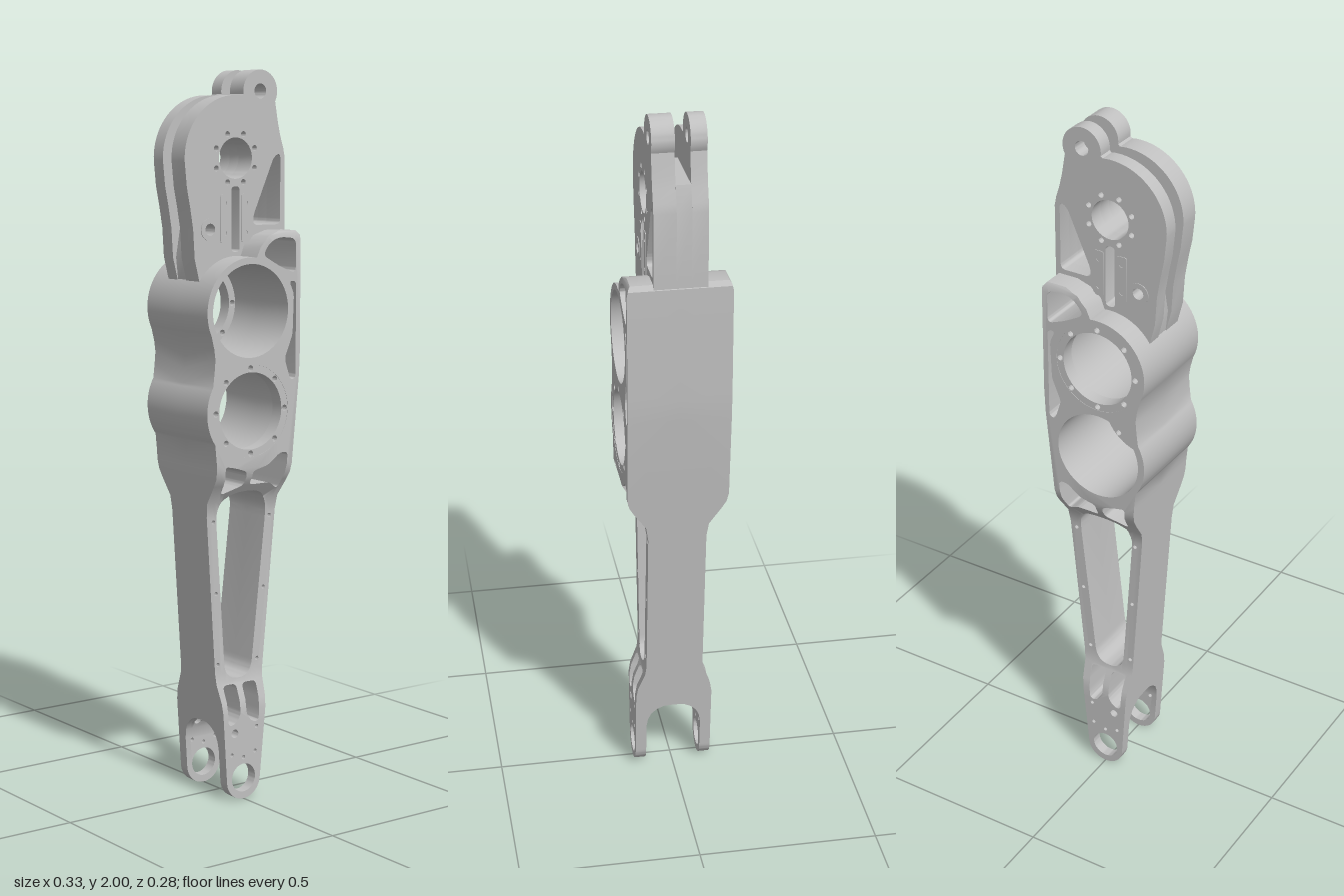
import * as THREE from 'three';
import { toCreasedNormals } from 'three/addons/utils/BufferGeometryUtils.js';

const metal = new THREE.MeshStandardMaterial({ color: 0xc0c0c0 });
metal.name = 'machined grey metal';

// Points along an arc, angles in degrees
function arc(cx, cy, r, a0, a1, n = 24) {
  const pts = [];
  for (let i = 0; i <= n; i++) {
    const a = THREE.MathUtils.degToRad(a0 + (a1 - a0) * i / n);
    pts.push([cx + r * Math.cos(a), cy + r * Math.sin(a)]);
  }
  return pts;
}
const polygon = pts => new THREE.Shape(pts.map(p => new THREE.Vector2(p[0], p[1])));
const circle = (x, y, r, n = 40) => polygon(arc(x, y, r, 0, 360 - 360 / n, n - 1));

// Polygon with softened corners; a third value in a point overrides the radius
function rounded(pts, r) {
  const out = [];
  const v = pts.map(p => new THREE.Vector2(p[0], p[1]));
  v.forEach((p, i) => {
    const toward = q => p.clone().lerp(q, Math.min(0.47, (pts[i][2] ?? r) / p.distanceTo(q)));
    const a = toward(v[(i + v.length - 1) % v.length]);
    const b = toward(v[(i + 1) % v.length]);
    out.push(...new THREE.QuadraticBezierCurve(a, p, b).getPoints(8));
  });
  return new THREE.Shape(out);
}

const boltCircle = (x, y, r, count, hole, phase) => Array.from({ length: count }, (_, i) => {
  const a = (i + phase) * 2 * Math.PI / count;
  return circle(x + r * Math.cos(a), y + r * Math.sin(a), hole, 12);
});

// Plate between two z values
function plate(name, shape, holes, z0, z1) {
  shape.holes = holes;
  const g = new THREE.ExtrudeGeometry(shape, { depth: z1 - z0, bevelEnabled: false });
  g.translate(0, 0, z0);
  const m = new THREE.Mesh(toCreasedNormals(g, 0.5), metal);
  m.name = name;
  return m;
}

// Piecewise linear lookup
function lookup(table, y) {
  if (y <= table[0][0]) return table[0][1];
  for (let i = 1; i < table.length; i++) {
    const [ya, a] = table[i - 1], [yb, b] = table[i];
    if (y <= yb) return a + (b - a) * (y - ya) / (yb - ya);
  }
  return table[table.length - 1][1];
}

// Keep the part of a polygon above (s = 1) or below (s = -1) a height
function clip(poly, h, s) {
  const out = [];
  poly.forEach((a, i) => {
    const b = poly[(i + 1) % poly.length];
    const da = s * (a.y - h), db = s * (b.y - h);
    if (da >= 0) out.push(a);
    if ((da > 0 && db < 0) || (da < 0 && db > 0)) out.push(a.clone().lerp(b, da / (da - db)));
  });
  return out;
}

// Half thickness and fork gap by height
const outer = [[0, 0.11], [0.25, 0.11], [0.28, 0.105], [0.33, 0.085], [0.36, 0.081], [0.8, 0.081],
  [0.84, 0.087], [0.89, 0.122], [0.91, 0.134], [0.935, 0.14], [1.545, 0.14], [1.563, 0.136], [1.571, 0.13]];
const inner = [[0, 0.079], [0.14, 0.079], [0.165, 0.075], [0.185, 0.066], [0.2, 0.05], [0.21, 0.03], [0.212, 0]];
const cuts = [-1, ...new Set([...outer, ...inner].map(p => p[0]).filter(y => y > 0)), 3].sort((a, b) => a - b);

// Extruded body, mirrored about z = 0, whose thickness follows the tables
function thickBody(shape) {
  const p = new THREE.ExtrudeGeometry(shape, { depth: 1, bevelEnabled: false }).attributes.position;
  const pos = [];
  for (let i = 0; i < p.count; i += 3) {
    const tri = [0, 1, 2].map(k => new THREE.Vector3().fromBufferAttribute(p, i + k));
    for (let c = 0; c < cuts.length - 1; c++) {
      const q = clip(clip(tri, cuts[c], 1), cuts[c + 1], -1).map(v => new THREE.Vector3(v.x, v.y,
        THREE.MathUtils.lerp(lookup(inner, v.y), lookup(outer, v.y), v.z)));
      for (let k = 1; k < q.length - 1; k++) {
        const t = [q[0], q[k], q[k + 1]];
        // skip slivers and the hidden faces on the middle plane
        if (new THREE.Triangle(...t).getArea() < 1e-9 || t.every(v => v.z < 1e-6)) continue;
        t.forEach(v => pos.push(v.x, v.y, v.z));
        t.reverse().forEach(v => pos.push(v.x, v.y, -v.z));
      }
    }
  }
  const g = new THREE.BufferGeometry();
  g.setAttribute('position', new THREE.Float32BufferAttribute(pos, 3));
  const m = new THREE.Mesh(toCreasedNormals(g, 0.5), metal);
  m.name = 'mainBody';
  return m;
}

export function createModel() {
  const group = new THREE.Group();
  group.name = 'linkArm';

  // Main body: bottom eye, straight +x edge, bore bulges on the -x edge
  const body = polygon([
    ...arc(0, 0.057, 0.057, 184, 357),
    [0.165, 1.18], [0.168, 1.25], [0.168, 1.558], [0.157, 1.571], [0.1, 1.571], [0.06, 1.558], [0.032, 1.53],
    ...arc(0, 1.36, 0.144, 82, 205, 30), [-0.122, 1.265], [-0.118, 1.235], [-0.121, 1.2],
    ...arc(0, 1.09, 0.145, 150, 215, 18), [-0.114, 0.96], [-0.112, 0.92],
  ]);
  body.holes = [
    circle(0, 0.06, 0.04),
    circle(0, 1.36, 0.126, 56),
    circle(0, 1.09, 0.126, 56),
    // long window and the pockets around it
    rounded([[-0.078, 0.866, 0.085], [0.103, 0.866, 0.085], [0.045, 0.34], [-0.042, 0.34]], 0.045),
    rounded([[-0.085, 0.945], [-0.05, 0.938], [-0.01, 0.925], [-0.01, 0.885], [-0.075, 0.862]], 0.012),
    rounded([[0.01, 0.925], [0.06, 0.938], [0.1, 0.968], [0.127, 0.968], [0.118, 0.862], [0.08, 0.885], [0.01, 0.885]], 0.012),
    rounded([[-0.055, 0.325], [-0.01, 0.325], [-0.01, 0.24], [-0.03, 0.215], [-0.052, 0.215]], 0.014),
    rounded([[0.01, 0.325], [0.058, 0.325], [0.052, 0.215], [0.03, 0.215], [0.01, 0.24]], 0.014),
    // pockets beside the upper bore
    rounded([[0.04, 1.508], [0.065, 1.543], [0.1, 1.555], [0.152, 1.55], [0.152, 1.455], [0.1, 1.475]], 0.018),
    rounded([[0.153, 1.435], [0.153, 1.17], [0.135, 1.165], [0.115, 1.225], [0.142, 1.29], [0.146, 1.4], [0.13, 1.435]], 0.012),
    // small fastener holes
    circle(-0.03, 0.19, 0.012, 16),
    ...[[-0.04, 0.13], [0.04, 0.13], [0, 0.118], [0.045, 0.2], [-0.082, 0.785], [0.109, 0.785], [-0.073, 0.585],
      [0.089, 0.585], [-0.067, 0.385], [0.067, 0.385]].map(([x, y]) => circle(x, y, 0.006, 10)),
  ];
  group.add(thickBody(body));

  // Bolted flanges: upper bore at the back, lower bore at the front
  for (const [name, y, z0, z1] of [['upperBoreFlange', 1.36, -0.139, -0.1], ['lowerBoreFlange', 1.09, 0.1, 0.139]]) {
    group.add(plate(name, circle(0, y, 0.1265, 56),
      [circle(0, y, 0.105, 56), ...boltCircle(0, y, 0.1158, 8, 0.0085, 0)], z0, z1));
  }

  // Head cheeks with the pivot lug, either side of the groove
  const lower = [...arc(0, 1.36, 0.135, 150, 84, 16), [0.03, 1.535], [0.065, 1.56], [0.167, 1.56]];
  const cheekOutline = [
    ...lower, [0.167, 1.765], [0.162, 1.79], [0.151, 1.825], [0.143, 1.86],
    ...arc(0.083, 1.943, 0.057, -28, 188, 24), [0.021, 1.93],
    ...arc(0, 1.765, 0.167, 86, 182, 24), [-0.16, 1.69], [-0.15, 1.64], [-0.14, 1.58], [-0.135, 1.5],
  ];
  const window = () => rounded([[0.152, 1.778], [0.152, 1.585], [0.06, 1.585], [0.06, 1.61], [0.13, 1.768]], 0.016);
  const pivot = () => circle(0, 1.765, 0.055);
  const stopHole = () => circle(-0.085, 1.577, 0.016, 20);
  const cheekHoles = () => [
    pivot(), window(), stopHole(), ...boltCircle(0, 1.765, 0.069, 8, 0.008, 0.5),
    circle(0.083, 1.943, 0.02, 24),
    rounded([[-0.014, 1.69], [0.014, 1.69], [0.014, 1.515], [-0.014, 1.515]], 0.012),
  ];
  group.add(plate('frontCheek', polygon(cheekOutline), cheekHoles(), 0.01, 0.07));
  group.add(plate('backCheek', polygon(cheekOutline), cheekHoles(), -0.073, -0.03));

  // Web at the bottom of the groove
  const web = polygon([...lower, [0.167, 1.765], [0.15, 1.835], [-0.05, 1.835], [-0.085, 1.81],
    [-0.105, 1.77], [-0.108, 1.6], [-0.125, 1.5]]);
  group.add(plate('headWeb', web, [pivot(), window(), stopHole()], -0.03, 0.01));

  // Thin pads and stop rings on both cheeks
  for (const [label, z0, z1] of [['front', 0.07, 0.072], ['back', -0.075, -0.073]]) {
    for (const x of [-0.035, 0.035]) {
      group.add(plate(label + 'GuidePad',
        rounded([[x - 0.016, 1.67], [x - 0.016, 1.54], [x + 0.016, 1.54], [x + 0.016, 1.67]], 0.008),
        [circle(x, 1.645, 0.006, 10), circle(x, 1.565, 0.006, 10)], z0, z1));
    }
    group.add(plate(label + 'StopRing', circle(-0.085, 1.577, 0.03, 28), [stopHole()], z0, z1));
  }
  return group;
}
